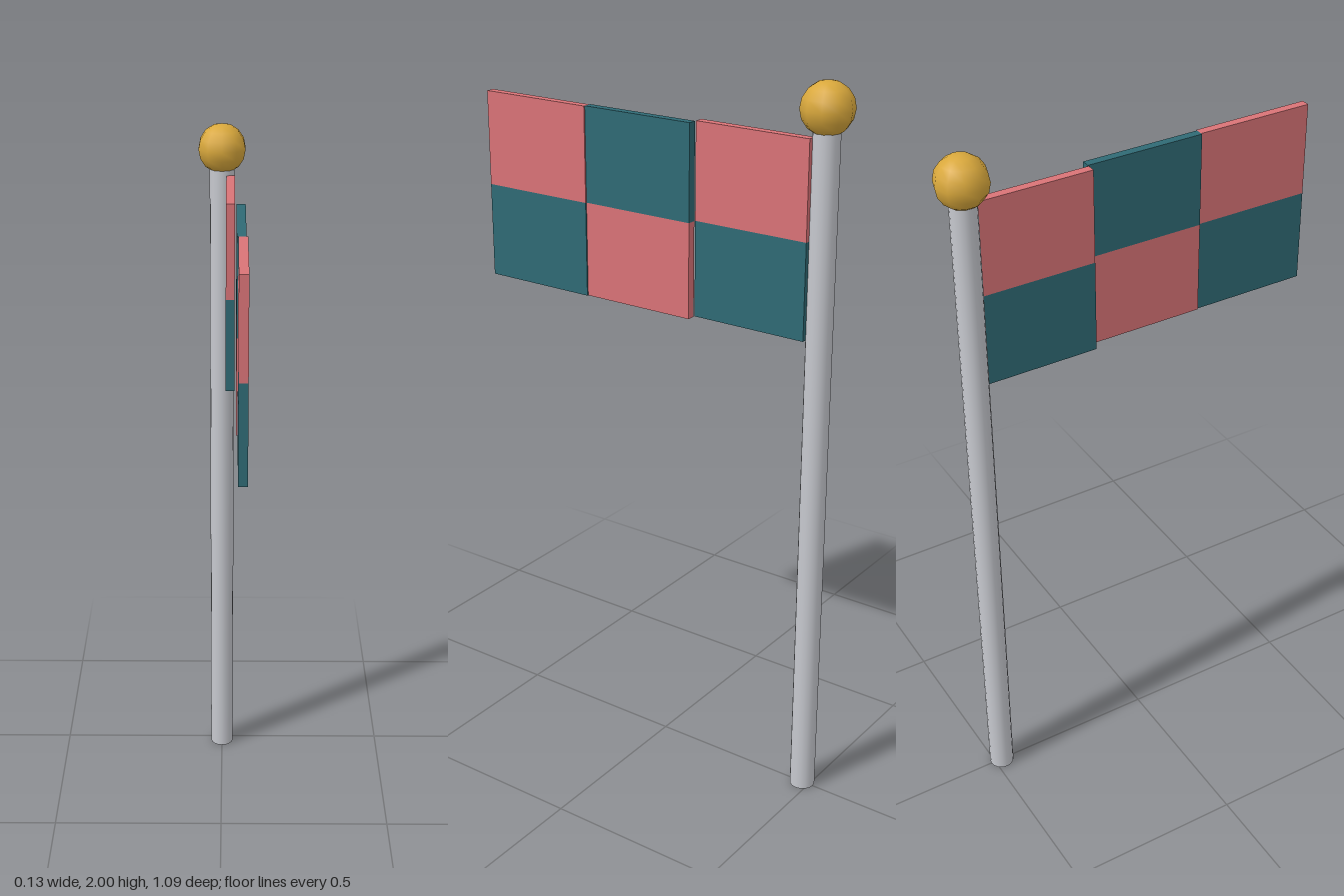
import * as THREE from 'three';

function paint(name, color) {
  const m = new THREE.MeshStandardMaterial({ color });
  m.name = name;
  return m;
}

export function createModel() {
  const group = new THREE.Group();
  group.name = 'flagpole';
  const silver = paint('silver', 0xc6c8ce);
  const gold = paint('gold', 0xd9a83c);
  const pink = paint('pink', 0xd97377);
  const teal = paint('teal', 0x2f6a75);

  function add(name, geometry, material, x, y, z) {
    const mesh = new THREE.Mesh(geometry, material);
    mesh.name = name;
    mesh.position.set(x, y, z);
    group.add(mesh);
    return mesh;
  }

  // Pole and round finial
  const poleZ = -0.478;
  add('pole', new THREE.CylinderGeometry(0.035, 0.035, 1.88, 16), silver, 0, 0.94, poleZ);
  const finial = add('finial', new THREE.SphereGeometry(0.069, 10, 8), gold, 0, 1.931, poleZ);
  finial.rotation.y = Math.PI / 2;

  // Checked flag: three columns stepped sideways, two rows
  const cellLength = 0.333;
  const cellHeight = 0.26;
  const cell = new THREE.BoxGeometry(0.024, cellHeight, cellLength);
  [0.024, 0.052, 0.056].forEach((x, column) => {
    for (let row = 0; row < 2; row++) {
      const material = (column + row) % 2 ? teal : pink;
      const y = 1.86 - (row + 0.5) * cellHeight;
      const z = -0.452 + (column + 0.5) * cellLength;
      add('flagPanel', cell, material, x, y, z);
    }
  });

  return group;
}
